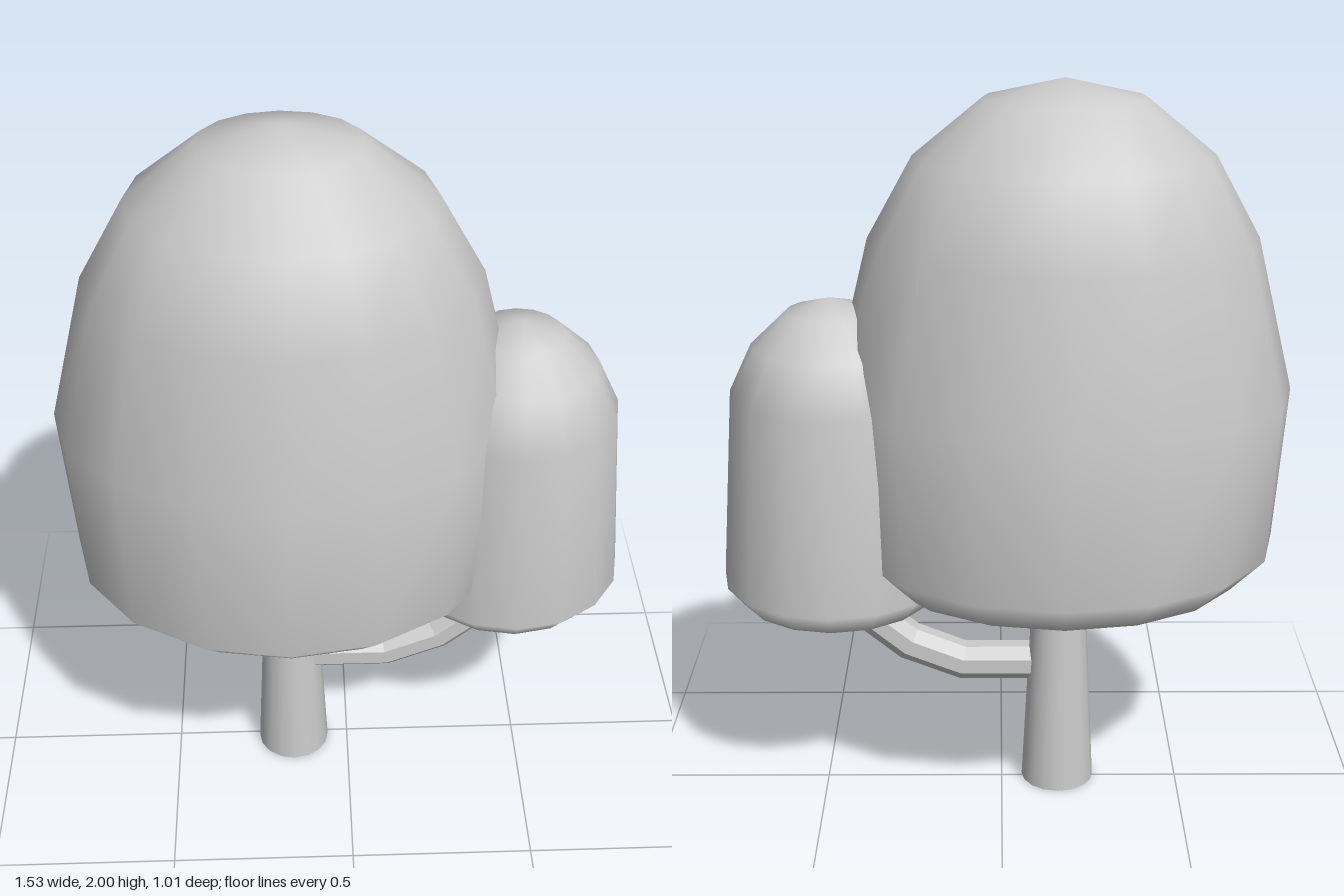
import * as THREE from 'three';

const TAU = Math.PI * 2;

// Skin over a stack of equal rings, with an optional tip and a separate (hard-edged) base fan
function loft(rings, tip, base) {
  const n = rings[0].length;
  const pos = [];
  const index = [];
  const add = (p) => pos.push(p.x, p.y, p.z) / 3 - 1;
  rings.forEach((ring) => ring.forEach(add));
  for (let i = 0; i < rings.length - 1; i++) {
    for (let j = 0; j < n; j++) {
      const a = i * n + j, b = i * n + (j + 1) % n;
      index.push(a, a + n, b, b, a + n, b + n);
    }
  }
  const last = (rings.length - 1) * n;
  const t = add(tip);
  for (let j = 0; j < n; j++) index.push(last + j, t, last + (j + 1) % n);
  const c = add(base);
  const first = c + 1;
  rings[0].forEach(add);
  for (let j = 0; j < n; j++) index.push(c, first + j, first + (j + 1) % n);

  const g = new THREE.BufferGeometry();
  g.setAttribute('position', new THREE.Float32BufferAttribute(pos, 3));
  g.setIndex(index);
  g.computeVertexNormals();
  return g;
}

// Leaf crown from [y, radius x, radius z, pinch] levels
function crownGeometry(cx, cz, levels, baseY, tipY, sides = 16) {
  const rings = levels.map(([y, rx, rz, pinch = 0]) =>
    Array.from({ length: sides }, (_, j) => {
      const a = (j / sides) * TAU;
      const squeeze = 1 - pinch * Math.abs(Math.sin(2 * a));
      return new THREE.Vector3(cx + rx * Math.cos(a), y, cz + rz * Math.sin(a) * squeeze);
    }));
  return loft(rings, new THREE.Vector3(cx, tipY, cz), new THREE.Vector3(cx, baseY, cz));
}

// Eight-sided limb along a path lying in a plane of constant z
function limbGeometry(path, z, r, sides = 8) {
  const pts = path.map(([x, y]) => new THREE.Vector3(x, y, z));
  const rings = pts.map((p, i) => {
    const before = pts[Math.max(i - 1, 0)], after = pts[Math.min(i + 1, pts.length - 1)];
    const d1 = p.clone().sub(before).normalize(), d2 = after.clone().sub(p).normalize();
    const t = d1.add(d2).normalize();
    return Array.from({ length: sides }, (_, j) => {
      const a = ((j + 0.5) / sides) * TAU;
      const u = r * Math.cos(a);
      return new THREE.Vector3(p.x + u * t.y, p.y - u * t.x, z + r * Math.sin(a));
    });
  });
  return loft(rings, pts[pts.length - 1], pts[0]);
}

export function createModel() {
  const group = new THREE.Group();
  const smooth = new THREE.MeshStandardMaterial({ color: 0xcccccc });
  const flat = new THREE.MeshStandardMaterial({ color: 0xcccccc, flatShading: true });
  const addPart = (name, geometry, material) => {
    const mesh = new THREE.Mesh(geometry, material);
    mesh.name = name;
    group.add(mesh);
    return mesh;
  };

  // Tapered trunk
  const trunk = addPart('trunk', new THREE.CylinderGeometry(0.068, 0.102, 0.7, 16), smooth);
  trunk.position.set(-0.16, 0.35, 0.012);

  // Side branch curving up into the small crown
  addPart('branch', limbGeometry([
    [-0.095, 0.36], [0.11, 0.36], [0.26, 0.42], [0.345, 0.49], [0.375, 0.55], [0.375, 0.64],
  ], 0.028, 0.054), flat);

  // Large crown, wider in x than in z
  addPart('mainCrown', crownGeometry(-0.16, 0, [
    [0.66, 0.49, 0.4],
    [0.76, 0.58, 0.505],
    [1.18, 0.61, 0.485, 0.1],
    [1.59, 0.508, 0.422],
    [1.805, 0.388, 0.325],
    [1.95, 0.21, 0.175],
  ], 0.64, 2), smooth);

  // Small round crown
  addPart('sideCrown', crownGeometry(0.45, -0.012, [
    [0.592, 0.262, 0.262],
    [0.655, 0.312, 0.314],
    [1.18, 0.272, 0.268],
    [1.31, 0.21, 0.21],
    [1.4, 0.115, 0.115],
  ], 0.58, 1.435), smooth);

  return group;
}
